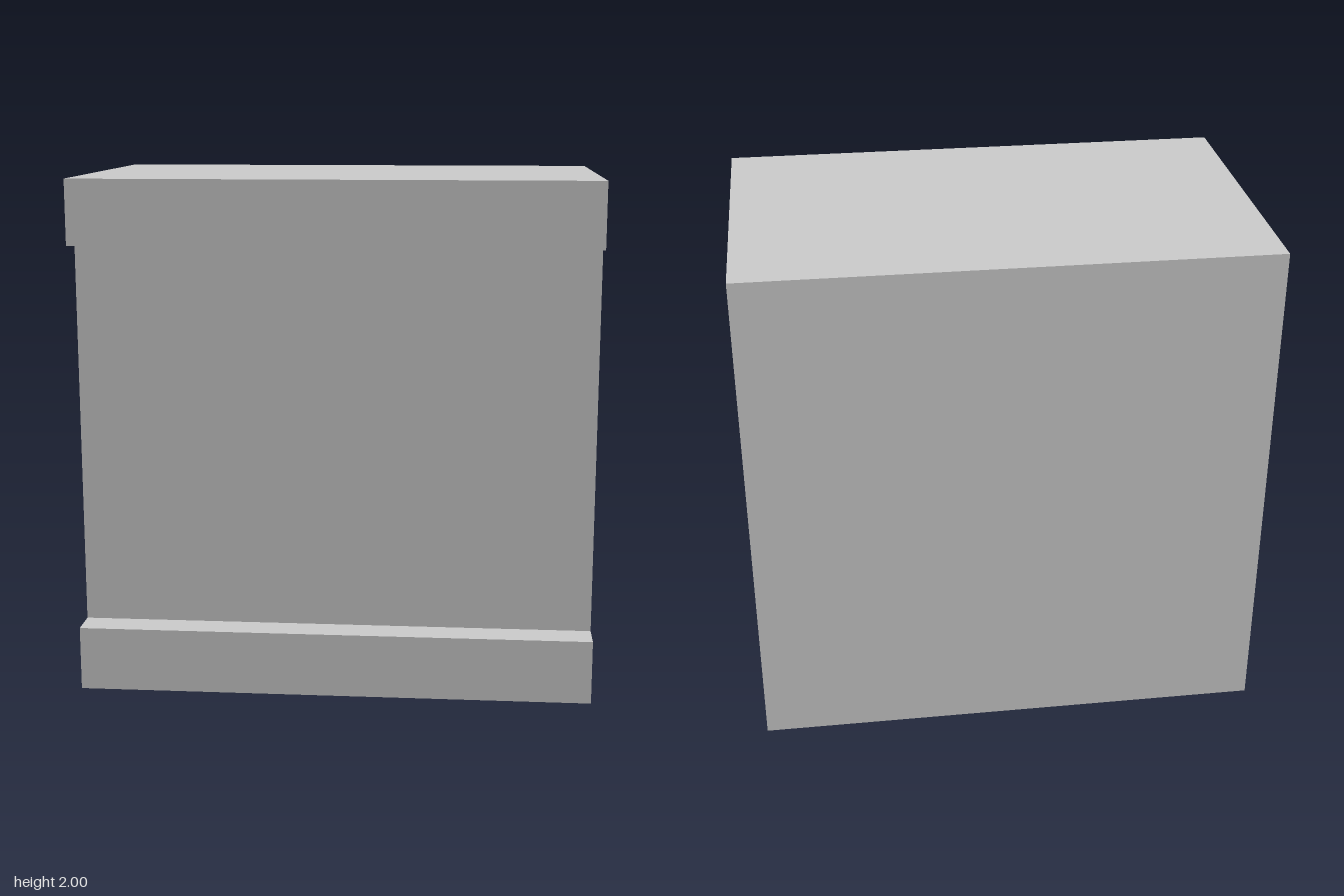
import * as THREE from 'three';

export function createModel() {
  const group = new THREE.Group();
  group.name = 'channelBlock';

  const width = 2, height = 2, lip = 0.25; // lip: height of the top and bottom ledges
  const back = -0.625, front = 0.625, recess = 0.5;

  // Side profile (z, y): a solid block with a shallow channel across the front
  const profile = new THREE.Shape([
    [back, 0], [front, 0], [front, lip], [recess, lip],
    [recess, height - lip], [front, height - lip], [front, height], [back, height],
  ].map(([z, y]) => new THREE.Vector2(z, y)));

  // Extrude across the full width, then turn the profile to face +z
  const geometry = new THREE.ExtrudeGeometry(profile, { depth: width, bevelEnabled: false });
  geometry.translate(0, 0, -width / 2);
  geometry.rotateY(-Math.PI / 2);

  const block = new THREE.Mesh(
    geometry,
    new THREE.MeshStandardMaterial({ color: 0xcccccc, flatShading: true }),
  );
  block.name = 'blockWithFrontRecess';
  group.add(block);
  return group;
}
